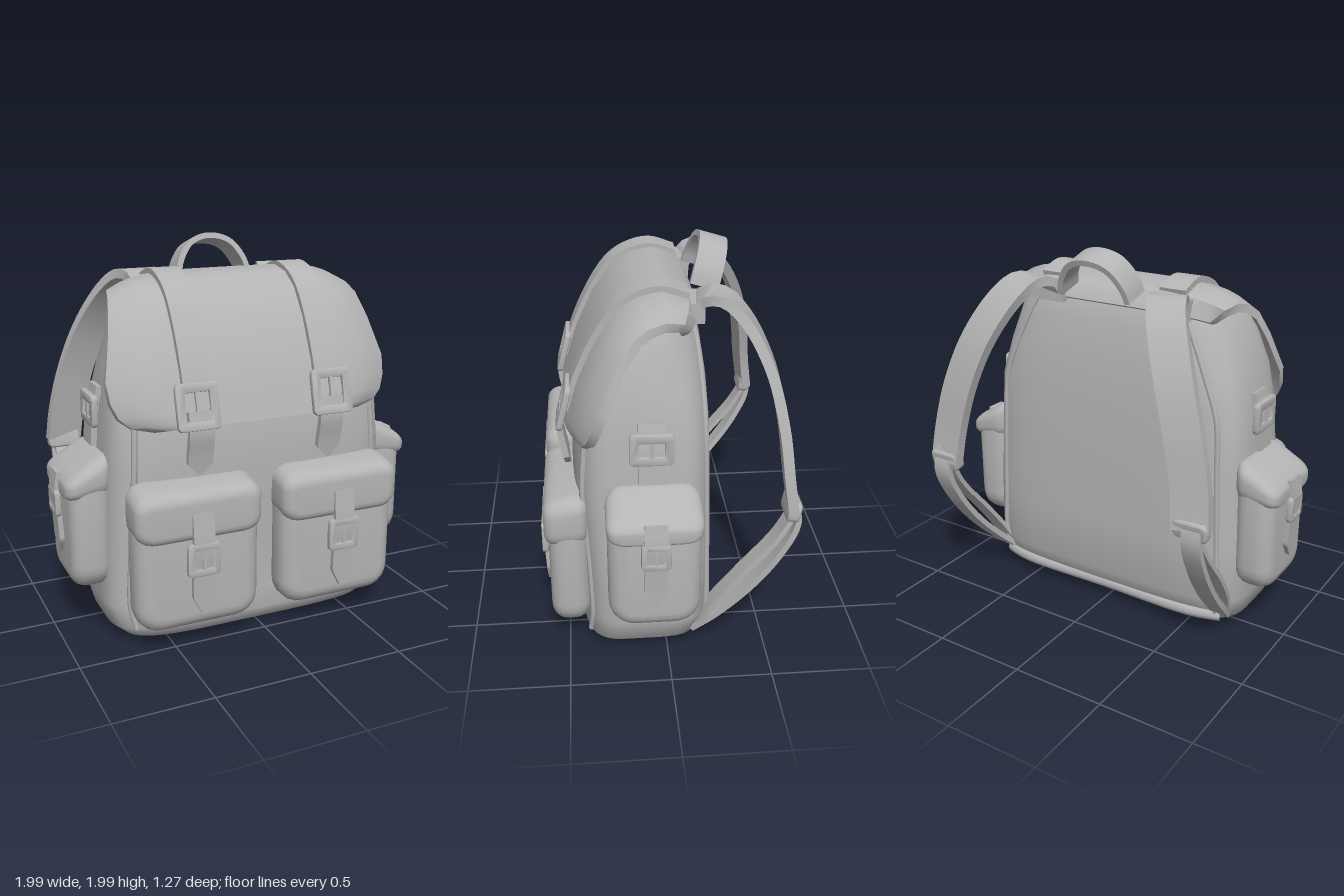
import * as THREE from 'three';
import { toCreasedNormals } from 'three/addons/utils/BufferGeometryUtils.js';

const canvas = new THREE.MeshStandardMaterial({ color: 0xb4b4b4 });
canvas.name = 'grey canvas';
const V = (x, y, z) => new THREE.Vector3(x, y, z);

function part(name, geometry, parent, crease = 0.7) {
  const mesh = new THREE.Mesh(toCreasedNormals(geometry, crease), canvas);
  mesh.name = name;
  parent.add(mesh);
  return mesh;
}

// Closed skin over a row of cross-sections, capped at both ends
function loft(rings) {
  const n = rings[0].length, last = (rings.length - 1) * n, idx = [];
  const quad = (a, b, c, d) => idx.push(a, b, c, a, c, d);
  for (let r = 0; r < last; r += n)
    for (let i = 0; i < n; i++) {
      const j = (i + 1) % n;
      quad(r + i, r + j, r + n + j, r + n + i);
    }
  for (let i = 0; i < n / 2 - 1; i++) {
    quad(i + 1, i, n - 1 - i, n - 2 - i);
    quad(last + i, last + i + 1, last + n - 2 - i, last + n - 1 - i);
  }
  const pts = rings.flat();
  let volume = 0;
  for (let i = 0; i < idx.length; i += 3)
    volume += pts[idx[i]].dot(V(0, 0, 0).crossVectors(pts[idx[i + 1]], pts[idx[i + 2]]));
  if (volume < 0) idx.reverse();
  const g = new THREE.BufferGeometry().setFromPoints(pts);
  g.setIndex(idx);
  return g;
}

// Flat band swept along a curve; side is the direction of its width
function ribbon(points, side, width, thick, pointed = false) {
  const curve = new THREE.CatmullRomCurve3(points), rings = [], N = 28;
  for (let k = 0; k <= N; k++) {
    const t = k / N, p = curve.getPointAt(t), tan = curve.getTangentAt(t);
    const s = side.clone().addScaledVector(tan, -side.dot(tan)).normalize();
    const up = V(0, 0, 0).crossVectors(tan, s).multiplyScalar(thick / 2);
    s.multiplyScalar(width / 2 * (pointed ? Math.min(1, 0.12 + (1 - t) * 5) : 1));
    rings.push([[-1, 1], [1, 1], [1, -1], [-1, -1]].map(([a, b]) =>
      p.clone().addScaledVector(s, a).addScaledVector(up, b)));
  }
  return loft(rings);
}

function roundRect(path, w, y0, y1, rTop, rBot) {
  const x = w / 2;
  path.moveTo(-x + rBot, y0);
  path.lineTo(x - rBot, y0); path.quadraticCurveTo(x, y0, x, y0 + rBot);
  path.lineTo(x, y1 - rTop); path.quadraticCurveTo(x, y1, x - rTop, y1);
  path.lineTo(-x + rTop, y1); path.quadraticCurveTo(-x, y1, -x, y1 - rTop);
  path.lineTo(-x, y0 + rBot); path.quadraticCurveTo(-x, y0, -x + rBot, y0);
  return path;
}

// Padded slab from z = 0 to z = d with bevelled rim
function pad(w, y0, y1, d, b, rTop, rBot) {
  const shape = roundRect(new THREE.Shape(), w - 2 * b, y0 + b, y1 - b, rTop, rBot);
  return new THREE.ExtrudeGeometry(shape, { depth: d - 2 * b, bevelSize: b, bevelThickness: b,
    bevelSegments: 5, curveSegments: 5 }).translate(0, 0, b);
}

// Let the upper part of a pocket sink toward its front
function droop(geometry, amount, depth, from, to) {
  const p = geometry.attributes.position;
  for (let i = 0; i < p.count; i++) {
    const high = Math.max(0, (p.getY(i) - from) / (to - from));
    p.setY(i, p.getY(i) - amount * high * p.getZ(i) / depth);
  }
  return geometry;
}

// Square frame with a prong, centred on the origin and facing +z
function buckle(w, h) {
  const g = new THREE.Group(), bar = w * 0.17;
  g.name = 'buckle';
  const shape = roundRect(new THREE.Shape(), w, -h / 2, h / 2, 0.02, 0.02);
  shape.holes.push(roundRect(new THREE.Path(), w - 2 * bar, -h / 2 + bar, h / 2 - bar, 0.01, 0.01));
  part('buckleFrame', new THREE.ExtrudeGeometry(shape, { depth: 0.015, bevelSize: 0.006,
    bevelThickness: 0.008, bevelSegments: 2, curveSegments: 3 }), g);
  part('buckleProng', new THREE.BoxGeometry(w * 0.1, h * 0.75, 0.02).translate(0, h * 0.06, 0.012), g);
  return g;
}

// Pocket with flap, strap and buckle, facing +z
function pocket(name, o) {
  const g = new THREE.Group();
  g.name = name;
  const sag = (geometry) => droop(geometry, o.sag, o.d, o.flap, o.top);
  part('pocketBody', sag(pad(o.w - 0.01, 0, o.h, o.d, 0.08, 0.03, 0.06)), g);
  part('pocketFlap', sag(pad(o.w, o.flap, o.top, o.d + 0.02, 0.06, 0.03, 0.05)), g);
  const z = o.d + 0.02, m = o.buckleY;
  part('pocketStrap', ribbon([V(0, o.strapTop, z - 0.005), V(0, m + 0.05, z + 0.01), V(0, m - 0.08, z),
    V(0, o.strapEnd, z - 0.01)], V(1, 0, 0), 0.11, 0.025, true), g);
  const b = buckle(o.size, o.size);
  b.position.set(0, m, z);
  g.add(b);
  return g;
}

export function createModel() {
  const bag = new THREE.Group();
  bag.name = 'backpack';

  // Main sack: rounded sections as [y, half width, front z, back z], back narrowing to the top
  const rows = [[0, .64, .38, -.08], [.02, .70, .41, -.14], [.08, .77, .43, -.2], [.2, .8, .42, -.24],
    [.5, .79, .43, -.245], [.9, .77, .455, -.24], [1.2, .75, .43, -.23], [1.4, .73, .37, -.215],
    [1.6, .68, .28, -.185], [1.72, .63, .19, -.15], [1.79, .56, .08, -.1]];
  const at = ([y, w, f, b], a) => {
    const pw = (v) => Math.sign(v) * Math.abs(v) ** 0.42;
    const narrow = 1 - Math.max(0, y - 1.2) * 0.5 * Math.max(0, -pw(Math.sin(a)));
    return V(w * narrow * pw(Math.cos(a)), y, (f + b) / 2 + (f - b) / 2 * pw(Math.sin(a)));
  };
  const M = 48;
  part('sack', loft(rows.map((r) => Array.from({ length: M }, (_, i) =>
    at(r, (i + 0.5) / M * Math.PI * 2)))), bag, 0.9);

  // Piping along the vertical corners and the padded back hem
  for (const [a, top] of [[0.25, 7], [0.75, 7], [1.25, 10], [1.75, 10]]) {
    const path = new THREE.CatmullRomCurve3(rows.slice(2, top).map((r) => at(r, a * Math.PI)));
    part('piping', new THREE.TubeGeometry(path, 40, 0.016, 6), bag, 1.2);
  }
  const hem = [-.7, -.55, 0, .55, .7].map((x) => V(x, 0.1, Math.abs(x) > .6 ? -.15 : -.19));
  part('backHem', new THREE.TubeGeometry(new THREE.CatmullRomCurve3(hem), 24, 0.035, 8), bag, 1.2);

  // Lid: arched sheet whose edges curl inward, as [y, z, half width]
  const lid = [[1.70, -.18, .56], [1.79, -.13, .62], [1.83, 0, .65], [1.805, .12, .67], [1.74, .22, .69],
    [1.6, .32, .72], [1.4, .415, .765], [1.29, .45, .755], [1.22, .472, .725], [1.17, .488, .67], [1.14, .497, .56]];
  const mid = lid.map(([y, z]) => V(0, y, z)), U = 20;
  part('lid', loft(lid.map(([, , w], k) => {
    const t = mid[Math.min(k + 1, lid.length - 1)].clone().sub(mid[Math.max(k - 1, 0)]).normalize();
    const inward = V(0, -t.z, t.y);
    const row = (depth) => Array.from({ length: U + 1 }, (_, i) => {
      const u = i / U * 2 - 1;
      return mid[k].clone().addScaledVector(inward, depth + 0.09 * Math.abs(u) ** 5 * w / 0.7).setX(u * w);
    });
    return [...row(0), ...row(0.045).reverse()];
  })), bag, 0.8);

  // Lid straps with buckles and pointed tongues
  for (const s of [-1, 1]) {
    const x = s * 0.355, X = V(1, 0, 0);
    part('lidStrap', ribbon(mid.slice(1, 9).map((p) => V(x, p.y + 0.002, p.z + 0.006)), X, 0.145, 0.03), bag);
    part('lidStrapTongue', ribbon([V(x, 1.22, .495), V(x, 1.12, .51), V(x, 1.0, .49), V(x, .9, .475)],
      X, 0.13, 0.03, true), bag);
    const b = buckle(0.21, 0.22);
    b.position.set(x + s * 0.01, 1.24, 0.48);
    b.rotation.x = -0.25;
    bag.add(b);
  }

  // Front and side pockets
  for (const s of [-1, 1]) {
    const front = pocket('frontPocket', { w: .665, h: .72, d: .2, flap: .47, top: .765, sag: .04,
      strapTop: .62, strapEnd: .09, buckleY: .385, size: .16 });
    front.position.set(s * 0.39, 0.125, 0.385);
    bag.add(front);
    const side = pocket('sidePocket', { w: .46, h: .69, d: .215, flap: .48, top: .73, sag: .13,
      strapTop: .6, strapEnd: .16, buckleY: .44, size: .13 });
    side.position.set(s * 0.735, 0.28, 0.075);
    side.rotation.y = s * Math.PI / 2;
    bag.add(side);

    // Compression strap above the side pocket
    part('sideStrap', ribbon([V(s * .745, 1.3, .08), V(s * .77, 1.18, .08), V(s * .785, 1.0, .08)],
      V(0, 0, 1), 0.13, 0.03), bag);
    const b = buckle(0.2, 0.15);
    b.position.set(s * 0.775, 1.18, 0.08);
    b.rotation.y = s * Math.PI / 2;
    bag.add(b);
  }

  // Shoulder straps with doubled webbing and adjusters
  for (const s of [-1, 1]) {
    const P = (x, y, z) => V(s * x, y, z);
    part('shoulderStrap', ribbon([P(.37, 1.68, -.14), P(.38, 1.775, -.2), P(.42, 1.78, -.29), P(.48, 1.7, -.385),
      P(.58, 1.5, -.49), P(.67, 1.25, -.55), P(.73, 1.0, -.58), P(.75, .82, -.605)],
    V(1, 0, s * 0.1), 0.19, 0.05), bag);
    part('strapAnchor', new THREE.BoxGeometry(0.22, 0.1, 0.07).translate(s * 0.36, 1.72, -0.16), bag);
    part('strapAdjuster', pad(0.18, -0.05, 0.05, 0.06, 0.012, 0.02, 0.02)
      .rotateX(-0.2).translate(s * 0.75, 0.82, -0.63), bag);
    part('outerWebbing', ribbon([P(.76, .9, -.6), P(.765, .76, -.625), P(.76, .58, -.55), P(.745, .38, -.41),
      P(.72, .2, -.24), P(.69, .1, -.13)], V(1, 0, 0), 0.1, 0.03), bag);
    part('innerWebbing', ribbon([P(.75, .8, -.61), P(.755, .66, -.53), P(.75, .45, -.36), P(.73, .27, -.23),
      P(.7, .14, -.16)], V(1, 0, 0), 0.1, 0.025), bag);
  }

  // Carrying handle: upright arch of wide band leaning backward
  const arch = [[-.2, 1.76, -.22], [-.18, 1.83, -.24], [-.11, 1.92, -.27], [0, 1.95, -.285],
    [.11, 1.92, -.27], [.18, 1.83, -.24], [.2, 1.76, -.22]].map((p) => V(...p));
  part('handle', ribbon(arch, V(0, 0.3, 1), 0.145, 0.03), bag);
  return bag;
}
